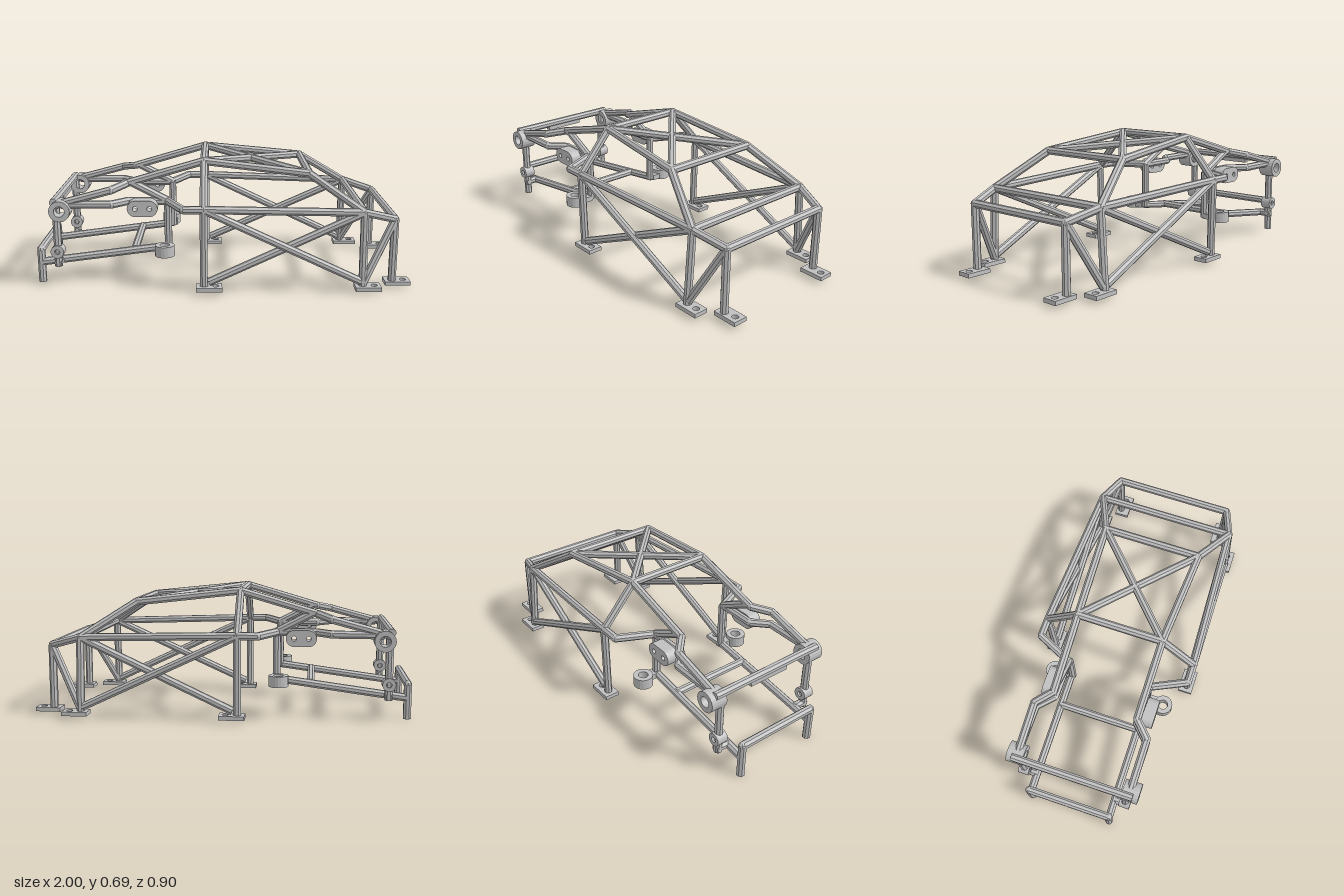
import * as THREE from 'three';

const R = 0.0215;
const steel = new THREE.MeshStandardMaterial({ color: 0xc0c0c0 });
steel.name = 'steelGrey';
steel.flatShading = true;

export function createModel() {
  const root = new THREE.Group();
  root.name = 'tubularChassis';

  const add = (name, geo, x = 0, y = 0, z = 0) => {
    const m = new THREE.Mesh(geo, steel);
    m.name = name;
    m.position.set(x, y, z);
    root.add(m);
    return m;
  };

  // Octagonal tubes along a path, with a welded joint at each inner bend
  const run = (name, ...pts) => {
    const p = pts.map((a) => new THREE.Vector3(...a));
    for (let i = 0; i + 1 < p.length; i++) {
      const g = new THREE.CylinderGeometry(R, R, p[i].distanceTo(p[i + 1]), 8);
      g.rotateY(Math.PI / 8).rotateX(Math.PI / 2);
      const m = add(name, g);
      m.position.copy(p[i]).lerp(p[i + 1], 0.5);
      m.lookAt(p[i + 1]);
      if (i > 0) add(name + 'Joint', new THREE.SphereGeometry(R, 8, 6), ...pts[i]);
    }
  };

  // Flat outline with round holes, extruded and centred on its thickness
  const holed = (shape, holes, depth) => {
    for (const [x, y, r] of holes) {
      const h = new THREE.Path();
      h.absarc(x, y, r, 0, Math.PI * 2, true);
      shape.holes.push(h);
    }
    const g = new THREE.ExtrudeGeometry(shape, { depth, bevelEnabled: false, curveSegments: 10 });
    return g.translate(0, 0, -depth / 2);
  };
  const disc = (r) => new THREE.Shape().absarc(0, 0, r, 0, Math.PI * 2, false);
  const rect = (w, h) => new THREE.Shape([
    new THREE.Vector2(-w / 2, -h / 2), new THREE.Vector2(w / 2, -h / 2),
    new THREE.Vector2(w / 2, h / 2), new THREE.Vector2(-w / 2, h / 2)]);
  const slab = (w, r) => {
    const s = new THREE.Shape();
    s.absarc(w / 2 - r, 0, r, -Math.PI / 2, Math.PI / 2, false);
    s.absarc(r - w / 2, 0, r, Math.PI / 2, Math.PI * 1.5, false);
    return s;
  };

  // Hoops and bars that cross the car
  const H = (s) => [-0.095, 0.668, 0.232 * s];  // main hoop top
  const W = (s) => [0.457, 0.608, 0.268 * s];   // windscreen top
  const D = (s) => [0.735, 0.428, 0.385 * s];   // dash corner
  const F = (s) => [0.905, 0.378, 0.33 * s];    // front hoop corner
  const B = (s) => [-0.095, 0.452, 0.42 * s];   // main hoop waist
  const foot = (x, z) => (s) => [x, 0.035, z * s];
  const hoopFoot = foot(-0.095, 0.412), dashFoot = foot(0.735, 0.408), frontFoot = foot(0.905, 0.33);
  run('mainHoop', hoopFoot(1), B(1), H(1), H(-1), B(-1), hoopFoot(-1));
  run('frontHoop', frontFoot(1), F(1), F(-1), frontFoot(-1));
  run('windscreenBar', W(1), W(-1));
  run('dashBar', D(1), D(-1));
  run('roofCross', H(1), W(-1));
  run('roofCross', H(-1), W(1));
  run('rearTopBar', [-0.877, 0.468, 0.33], [-0.877, 0.468, -0.33]);
  add('rearBarPlate', new THREE.BoxGeometry(0.03, 0.03, 0.232), -0.877, 0.447, 0);
  run('lowerCrossBar', [-0.47, 0.182, 0.23], [-0.47, 0.182, -0.23]);
  run('tailHoop', [-0.977, 0, 0.228], [-0.977, 0.183, 0.228],
    [-0.977, 0.183, -0.228], [-0.977, 0, -0.228]);

  for (const s of [1, -1]) {
    // Cabin side
    run('roofRailAndPillar', H(s), W(s), D(s), F(s));
    run('dashPost', D(s), dashFoot(s));
    run('frontDiagonal', [0.74, 0.055, 0.405 * s], F(s));
    run('doorDiagonal', B(s), [0.725, 0.062, 0.408 * s]);
    run('doorDiagonal', [-0.07, 0.06, 0.41 * s], D(s));

    // Waist rail, stepping in behind the cabin and out to the rear mounts
    run('waistRail', D(s), B(s), [-0.2, 0.452, 0.42 * s], [-0.29, 0.452, 0.23 * s],
      [-0.5, 0.452, 0.23 * s], [-0.58, 0.452, 0.308 * s], [-0.84, 0.452, 0.308 * s]);
    run('rearStay', H(s), [-0.5, 0.55, 0.23 * s], [-0.58, 0.528, 0.308 * s], [-0.875, 0.45, 0.308 * s]);
    run('stayBrace', [-0.48, 0.555, 0.23 * s], [-0.29, 0.455, 0.23 * s]);

    // Lower rear frame
    run('lowerRail', [-0.977, 0.112, 0.228 * s], [-0.28, 0.203, 0.228 * s]);
    run('lowerPost', [-0.288, 0.19, 0.224 * s], [-0.288, 0.452, 0.224 * s]);
    run('rearPost', [-0.872, 0.11, 0.29 * s], [-0.872, 0.45, 0.29 * s]);
    run('rearPostStub', [-0.872, 0.128, 0.228 * s], [-0.872, 0.128, 0.305 * s]);

    // Suspension mounts
    add('upperRing', holed(disc(0.055), [[0, 0, 0.028]], 0.09), -0.843, 0.426, 0.315 * s);
    add('lowerRing', holed(disc(0.035), [[0, 0, 0.014]], 0.06), -0.872, 0.195, 0.29 * s);
    add('sideBracket', holed(slab(0.16, 0.043), [[-0.038, 0, 0.013], [0.038, 0, 0.013]], 0.064),
      -0.418, 0.428, 0.278 * s);
    add('cupRing', holed(disc(0.052), [[0, 0, 0.026]], 0.058).rotateX(Math.PI / 2), -0.302, 0.207, 0.322 * s);
    add('cupLink', new THREE.BoxGeometry(0.05, 0.03, 0.05), -0.288, 0.2, 0.258 * s);

    // Bolt-down feet
    for (const [f, inset] of [[hoopFoot, 0], [dashFoot, 0], [frontFoot, 0.012]]) {
      const [x, , z] = f(s);
      add('footPlate', holed(rect(0.135, 0.08), [[0.033, 0, 0.017]], 0.022).rotateX(Math.PI / 2),
        x + 0.028, 0.029, z - inset * s);
    }
  }
  return root;
}
